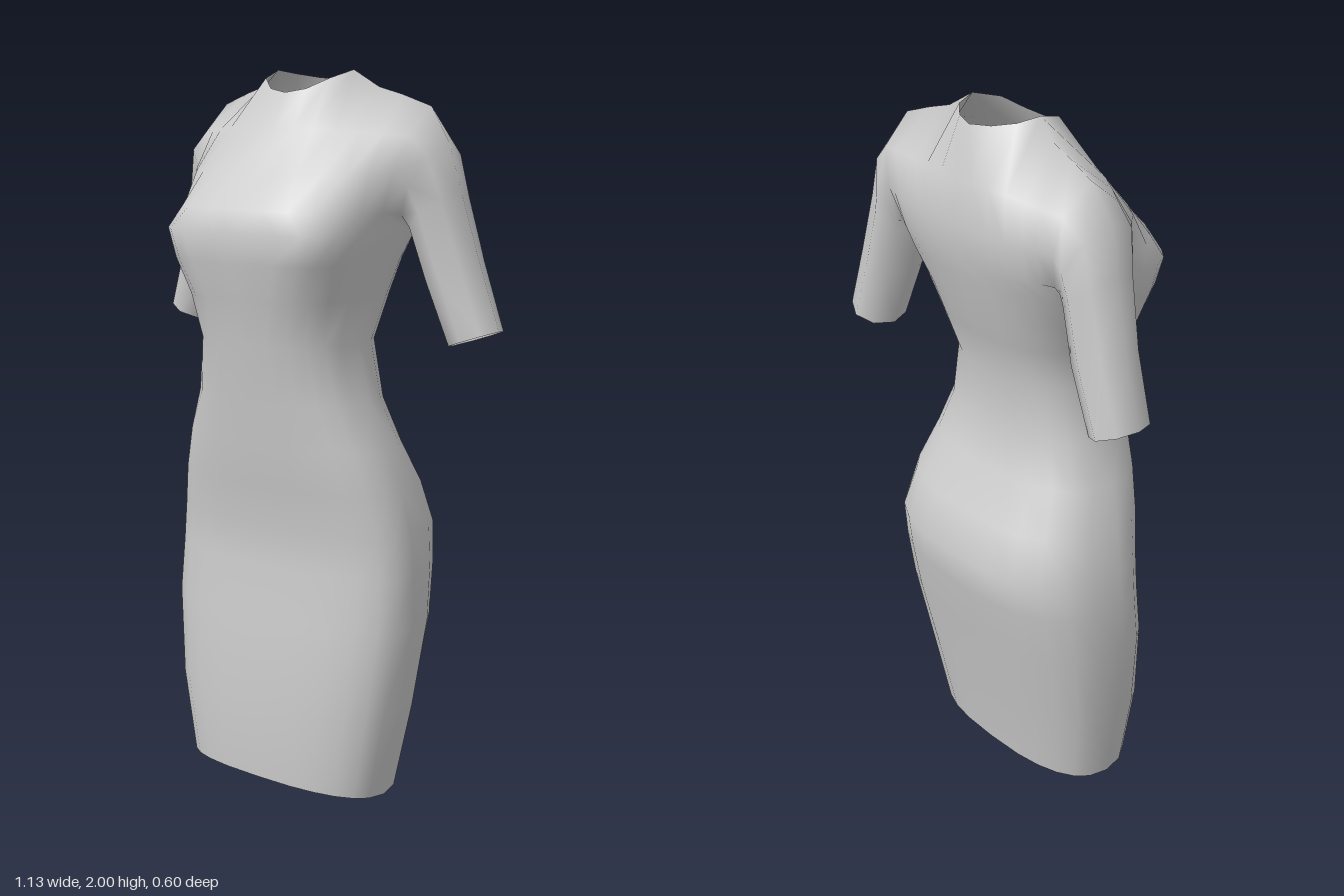
import * as THREE from 'three';
import { mergeGeometries, mergeVertices } from 'three/addons/utils/BufferGeometryUtils.js';

const HALF = 6; // columns from the centre line to the side seam

// Surface through rows of points, faces on the side of (column x row)
function grid(rows, flip = false) {
  const n = rows[0].length;
  const index = [];
  for (let r = 0; r < rows.length - 1; r++) {
    for (let c = 0; c < n - 1; c++) {
      const a = r * n + c, b = a + 1, d = a + n, e = d + 1;
      if (flip) index.push(a, e, b, a, d, e);
      else index.push(a, b, e, a, e, d);
    }
  }
  const g = new THREE.BufferGeometry().setFromPoints(rows.flat());
  g.setIndex(index);
  return g;
}

const mirror = (p) => new THREE.Vector3(-p.x, p.y, p.z);

// Full panel row from a half row running centre to side
const fullRow = (half) => [...half.slice(1).reverse().map(mirror), ...half];

// Half row sampled along a smooth curve
function curveRow(points) {
  const curve = new THREE.CatmullRomCurve3(points.map((p) => new THREE.Vector3(...p)));
  return Array.from({ length: HALF + 1 }, (_, i) => curve.getPoint(i / HALF));
}

// Half row along a quarter of a superellipse
function skirtRow(y, w, zMid, zSide, n) {
  return Array.from({ length: HALF + 1 }, (_, i) => {
    const t = (i / HALF) * Math.PI / 2;
    const c = i === HALF ? 0 : Math.cos(t);
    const lift = y === 0 ? 0.025 * c : 0; // hem rises towards the middle
    return new THREE.Vector3(w * Math.sin(t) ** (2 / n), y + lift, zSide + (zMid - zSide) * c ** (2 / n));
  });
}

// Skirt and bodice below the armpits: y, half width, front z, back z, side z, front roundness
const body = [
  [0, 0.325, 0.19, -0.155, 0.02, 2.6],
  [0.25, 0.37, 0.2, -0.195, 0.01, 2.6],
  [0.5, 0.4, 0.18, -0.25, 0, 2.5],
  [0.65, 0.395, 0.165, -0.28, -0.01, 2.5],
  [0.76, 0.385, 0.165, -0.298, -0.01, 2.5],
  [0.88, 0.36, 0.187, -0.25, 0, 2.5],
  [1.0, 0.32, 0.205, -0.18, 0.02, 2.5],
  [1.12, 0.27, 0.22, -0.147, 0.03, 2.5],
  [1.28, 0.235, 0.245, -0.145, 0.03, 2.6],
  [1.4, 0.26, 0.265, -0.185, 0, 3],
  [1.5, 0.285, 0.29, -0.215, -0.03, 3.8],
  [1.58, 0.305, 0.297, -0.237, -0.09, 4.4],
];

// Chest, upper back and the shared shoulder seam, each from centre to side
const shoulder = [[0.13, 2, -0.08], [0.2, 1.955, -0.1], [0.27, 1.935, -0.11], [0.355, 1.905, -0.12]];
const chest = [
  [[0, 1.64, 0.27], [0.17, 1.64, 0.26], [0.265, 1.635, 0.17], [0.3, 1.63, 0.02]],
  [[0, 1.72, 0.2], [0.14, 1.73, 0.185], [0.255, 1.73, 0.125], [0.335, 1.73, 0.03]],
  [[0, 1.84, 0.105], [0.12, 1.85, 0.085], [0.235, 1.84, 0.045], [0.35, 1.83, -0.025]],
  [[0, 1.94, 0.055], [0.06, 1.95, 0.04], [0.11, 1.978, 0], ...shoulder],
];
const upperBack = [
  [[0, 1.64, -0.25], [0.13, 1.64, -0.25], [0.24, 1.64, -0.225], [0.3, 1.63, -0.185]],
  [[0, 1.73, -0.26], [0.13, 1.73, -0.26], [0.24, 1.73, -0.24], [0.325, 1.73, -0.215]],
  [[0, 1.84, -0.245], [0.12, 1.85, -0.243], [0.23, 1.84, -0.225], [0.345, 1.83, -0.205]],
  [[0, 1.975, -0.2], [0.06, 1.98, -0.18], [0.11, 1.99, -0.14], ...shoulder],
];

// Sleeve rings: centre x, y, z, then outward offset x, y and depth
const sleeve = [
  [0.365, 1.7, -0.11, 0.055, 0.11, 0.115],
  [0.385, 1.63, -0.12, 0.068, 0.055, 0.1],
  [0.43, 1.47, -0.135, 0.075, 0.03, 0.09],
  [0.495, 1.295, -0.142, 0.07, 0.025, 0.083],
];

export function createModel() {
  const group = new THREE.Group();

  // Front and back panels
  const front = [...body.map(([y, w, f, , s, n]) => skirtRow(y, w, f, s, n)), ...chest.map(curveRow)];
  const back = [...body.map(([y, w, , b, s]) => skirtRow(y, w, b, s, 2.6)), ...upperBack.map(curveRow)];
  const parts = [grid(front.map(fullRow)), grid(back.map(fullRow), true)];

  // Armhole loop: armpit, up the front, over the shoulder, down the back
  const edge = (rows) => rows.slice(body.length - 1).map((row) => row[HALF]);
  const armhole = [...edge(front), ...edge(back).reverse().slice(1)];

  // Sleeves continue from the armholes to the cuffs
  const rings = [armhole, ...sleeve.map(([x, y, z, ox, oy, d]) => armhole.map((_, k) => {
    const t = (k / (armhole.length - 1)) * Math.PI * 2;
    return new THREE.Vector3(x - ox * Math.cos(t), y - oy * Math.cos(t), z + d * Math.sin(t));
  }))];
  parts.push(grid(rings, true), grid(rings.map((ring) => ring.map(mirror))));

  // One seamless cloth surface
  const cloth = mergeVertices(mergeGeometries(parts), 1e-4);
  cloth.computeVertexNormals();
  const material = new THREE.MeshStandardMaterial({ color: 0xcccccc, side: THREE.DoubleSide });
  const dress = new THREE.Mesh(cloth, material);
  dress.name = 'dress';
  group.add(dress);
  return group;
}
